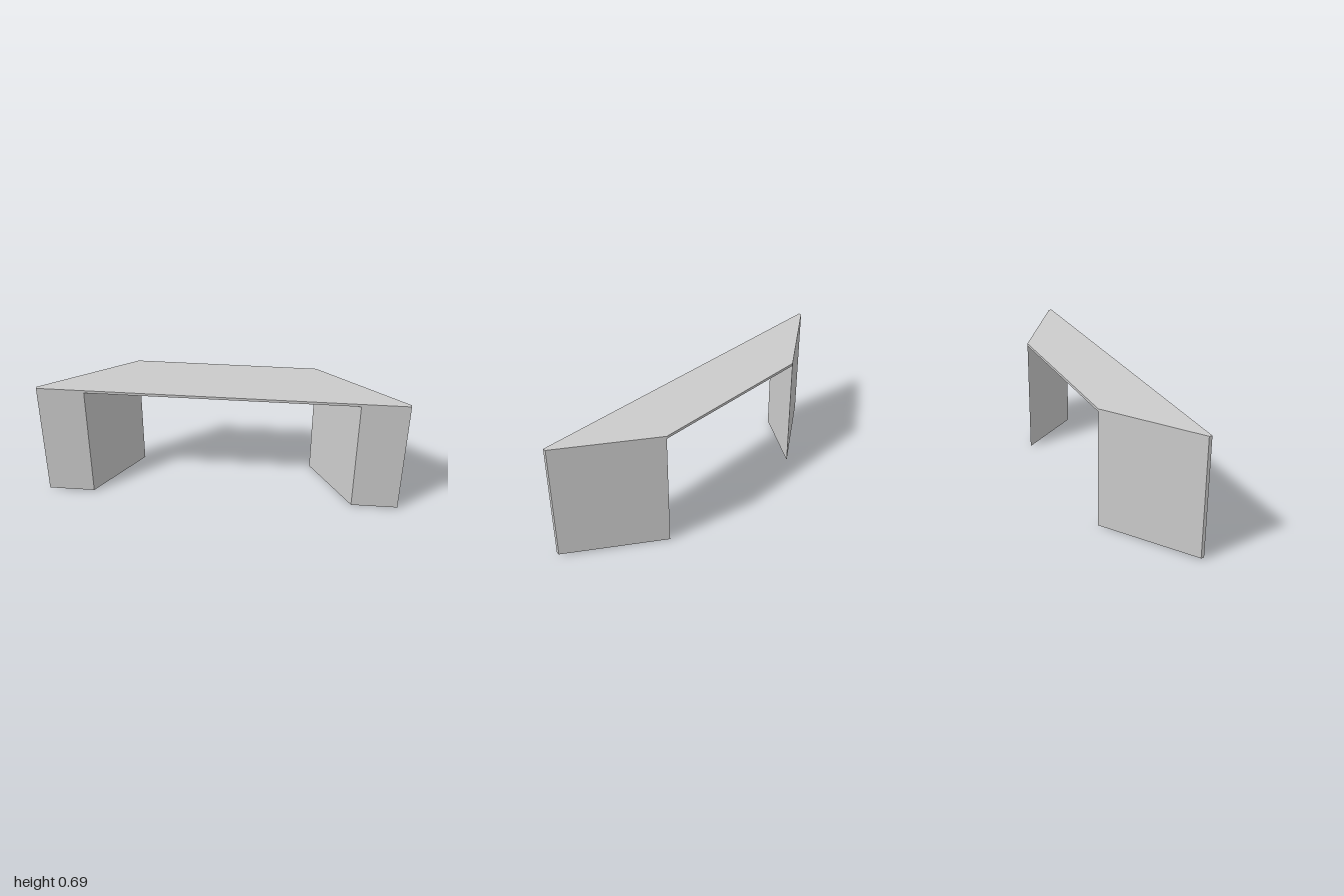
import * as THREE from 'three';

const material = new THREE.MeshStandardMaterial({ color: 0xcccccc, flatShading: true });
const BACK = -0.177, FRONT = 0.177, SIDE = 0.16;
const HEIGHT = 0.682, THICKNESS = 0.015;

// Upright prism over a floor plan of [x, z] points, tilted slightly up to the front
function prism(name, plan, bottom, top) {
  const shape = new THREE.Shape(plan.map(([x, z]) => new THREE.Vector2(x, -z)));
  const geometry = new THREE.ExtrudeGeometry(shape, { depth: top - bottom, bevelEnabled: false });
  geometry.rotateX(-Math.PI / 2).translate(0, bottom, 0);
  const p = geometry.attributes.position;
  for (let i = 0; i < p.count; i++) p.setY(i, p.getY(i) + 0.005 + 0.023 * p.getZ(i));
  geometry.computeVertexNormals();
  const mesh = new THREE.Mesh(geometry, material);
  mesh.name = name;
  return mesh;
}

export function createModel() {
  const group = new THREE.Group();
  group.name = 'desk';

  // Thin trapezoid top with blunt front corners
  group.add(prism('top', [
    [-1, FRONT], [1, FRONT], [1, SIDE], [0.5, BACK], [-0.5, BACK], [-1, SIDE],
  ], HEIGHT - THICKNESS, HEIGHT));

  // Wedge-shaped pedestals under both slanted ends
  for (const [name, s] of [['leftPedestal', 1], ['rightPedestal', -1]]) {
    group.add(prism(name, [
      [s * 0.74, FRONT], [s, FRONT], [s, SIDE], [s * 0.5, BACK],
    ], 0, HEIGHT - THICKNESS));
  }
  return group;
}
